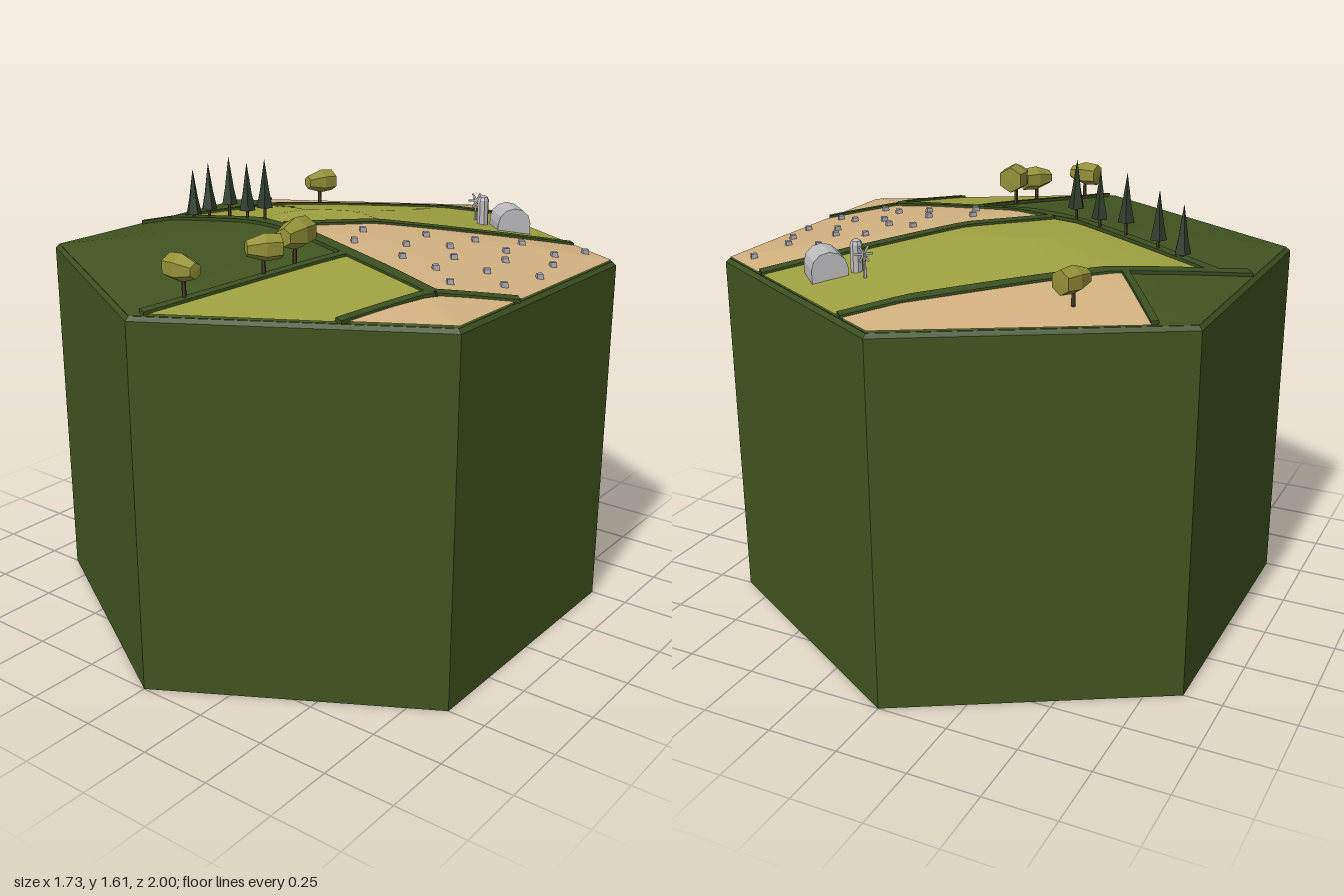
import * as THREE from 'three';
import { mergeVertices } from 'three/addons/utils/BufferGeometryUtils.js';

const paint = (name, color, opts = {}) => Object.assign(new THREE.MeshStandardMaterial({ color, ...opts }), { name });

// Hexagonal distance: 0 at the centre, 1 at the rim
function hexDist(x, z) {
  let d = 0;
  for (let i = 0; i < 3; i++) {
    const a = (i * Math.PI) / 3;
    d = Math.max(d, Math.abs(x * Math.cos(a) + z * Math.sin(a)) / 0.866);
  }
  return Math.min(d, 1);
}

// Height of the gently domed land, flat on top
function land(x, z) {
  const k = hexDist(x, z);
  const r = Math.hypot(x + 0.06 * (1 - k), z);
  const d = k * k + r * (1 - k);
  return 1.277 + 0.106 * THREE.MathUtils.clamp((1 - d) / 0.8, 0, 1);
}

// Convex patch [x, z] draped over the land, as a subdivided fan
function drape(points, lift, n = 22) {
  const cx = points.reduce((s, p) => s + p[0], 0) / points.length;
  const cz = points.reduce((s, p) => s + p[1], 0) / points.length;
  const pos = [];
  const put = (p) => pos.push(p[0], land(p[0], p[1]) + lift, p[1]);
  const tri = (a, b, c) => {
    const up = (b[1] - a[1]) * (c[0] - a[0]) - (b[0] - a[0]) * (c[1] - a[1]);
    (up > 0 ? [a, b, c] : [a, c, b]).forEach(put);
  };
  points.forEach((a, e) => {
    const b = points[(e + 1) % points.length];
    const at = (i, j) => [
      cx + ((a[0] - cx) * i + (b[0] - cx) * j) / n,
      cz + ((a[1] - cz) * i + (b[1] - cz) * j) / n,
    ];
    for (let i = 0; i < n; i++) for (let j = 0; i + j < n; j++) {
      tri(at(i, j), at(i + 1, j), at(i, j + 1));
      if (i + j < n - 1) tri(at(i + 1, j), at(i + 1, j + 1), at(i, j + 1));
    }
  });
  let g = new THREE.BufferGeometry();
  g.setAttribute('position', new THREE.Float32BufferAttribute(pos, 3));
  g = mergeVertices(g, 1e-5);
  g.computeVertexNormals();
  return g;
}

// Hedge from a to b: a long box bent to follow the land
function hedgeGeometry(a, b, width) {
  const dx = b[0] - a[0], dz = b[1] - a[1];
  const g = new THREE.BoxGeometry(Math.hypot(dx, dz), 0.012, width, 24, 1, 1);
  g.rotateY(-Math.atan2(dz, dx));
  g.translate((a[0] + b[0]) / 2, 0.006, (a[1] + b[1]) / 2);
  const p = g.attributes.position;
  for (let i = 0; i < p.count; i++) p.setY(i, p.getY(i) + land(p.getX(i), p.getZ(i)));
  g.computeVertexNormals();
  return g;
}

const lathe = (pts, sides) => new THREE.LatheGeometry(pts.map((p) => new THREE.Vector2(...p)), sides);

export function createModel() {
  const model = new THREE.Group();
  model.name = 'farmlandTile';
  const flat = { flatShading: true };
  const open = { side: THREE.DoubleSide };
  const wall = paint('earth green', 0x41541f, { ...flat, ...open });
  const grass = paint('grass green', 0x415421, open);
  const hedge = paint('hedge green', 0x3b4f20, { ...flat, ...open });
  const soil = paint('tan soil', 0xd2b180, open);
  const crop = paint('crop yellow green', 0x9da03f, open);
  const leaf = paint('olive leaf', 0x949038, flat);
  const pine = paint('pine green', 0x2d3c2b, flat);
  const bark = paint('bark brown', 0x4a3a24, flat);
  const metal = paint('pale metal', 0xbcbcc0, flat);
  const stone = paint('grey stone', 0xa9a8b4, flat);

  const add = (name, geometry, material, x = 0, y = 0, z = 0, parent = model) => {
    const m = new THREE.Mesh(geometry, material);
    m.name = name;
    m.position.set(x, y, z);
    parent.add(m);
    return m;
  };

  // Hexagonal block, open below, with a bevelled rim
  add('blockWalls', new THREE.CylinderGeometry(1, 1, 1.265, 6, 1, true), wall, 0, 0.6325);
  add('blockRim', new THREE.CylinderGeometry(0.985, 1, 0.013, 6, 1, true), hedge, 0, 1.2715);
  const hex = [0, 1, 2, 3, 4, 5].map((i) => [Math.sin(i * Math.PI / 3) * 0.985, Math.cos(i * Math.PI / 3) * 0.985]);
  add('ground', drape(hex, 0), grass);

  // Fields
  const fields = [
    ['backLeftField', soil, [[0, -0.98], [0.135, -0.905], [-0.505, -0.25], [-0.73, -0.565]]],
    ['middleField', crop, [[0.167, -0.885], [0.622, -0.625], [-0.108, 0.111], [-0.71, -0.02]]],
    ['rightField', soil, [[0.654, -0.605], [0.85, -0.492], [0.85, 0.12], [0.655, 0.305], [-0.08, 0.127]]],
    ['frontField', crop, [[0.278, 0.25], [0.632, 0.34], [0.53, 0.675], [0.045, 0.95]]],
    ['frontRightField', soil, [[0.85, 0.155], [0.85, 0.485], [0.555, 0.655], [0.68, 0.33]]],
  ];
  for (const [name, mat, pts] of fields) add(name, drape(pts, 0.004), mat);

  // Hedges between the fields
  const hedges = [
    [[0.15, -0.895], [-0.84, 0.085], 0.04],
    [[0.635, -0.615], [-0.1, 0.125], 0.045],
    [[-0.74, 0], [0.655, 0.33], 0.045],
    [[0.66, 0.32], [0.85, 0.14], 0.035],
    [[0.655, 0.33], [0.545, 0.665], 0.03],
    [[0.26, 0.25], [0.025, 0.955], 0.03],
    [[-0.735, -0.55], [-0.515, -0.24], 0.025],
  ];
  hedges.forEach(([a, b, w]) => add('hedge', hedgeGeometry(a, b, w), hedge));

  // Row of conifers: x, z, tip height
  const pineGeo = lathe([[0, 0], [0.03, 0], [0.017, 0.06], [0.011, 0.1], [0, 0.17]], 5);
  const pineTrunk = new THREE.CylinderGeometry(0.006, 0.006, 0.05, 5);
  [[-0.617, 0.03, 1.51], [-0.525, 0.045, 1.545], [-0.397, 0.075, 1.585], [-0.29, 0.1, 1.58], [-0.195, 0.115, 1.605]]
    .forEach(([x, z, tip], i) => {
      add('conifer', pineGeo, pine, x, tip - 0.17, z).rotation.y = i * 1.1;
      add('coniferTrunk', pineTrunk, bark, x, tip - 0.19, z);
    });

  // Round trees, crowns are lying tapered barrels: x, crown height, z, heading, size
  const crown = lathe([[0, -0.062], [0.043, -0.06], [0.048, -0.005], [0.027, 0.058], [0, 0.06]], 6);
  crown.rotateX(Math.PI / 2);
  [[-0.475, 1.39, -0.56, -0.37, 0.95], [0.185, 1.45, 0.42, 0.1, 1.1], [0.155, 1.425, 0.54, -0.65, 0.95], [0.065, 1.4, 0.81, 1.5, 0.95]]
    .forEach(([x, y, z, turn, s]) => {
      const top = add('treeCrown', crown, leaf, x, y, z);
      top.rotation.y = turn;
      top.scale.setScalar(s);
      const foot = land(x, z) - 0.01, tall = y - foot;
      add('treeTrunk', new THREE.CylinderGeometry(0.006, 0.008, tall, 5), bark, x, foot + tall / 2, z);
    });

  // Stones scattered over the right field
  const stones = [
    0.75, -0.49, 0.57, -0.36, 0.71, -0.34, 0.46, -0.23, 0.59, -0.22, 0.76, -0.24, 0.33, -0.12,
    0.45, -0.085, 0.64, -0.13, 0.79, -0.095, 0.17, 0.03, 0.35, 0.03, 0.52, 0, 0.66, 0.02,
    0.215, 0.14, 0.41, 0.14, 0.54, 0.14, 0.64, 0.21, 0.76, 0.08,
  ];
  const stoneGeo = new THREE.CylinderGeometry(0.014, 0.016, 0.018, 4);
  for (let i = 0; i < stones.length; i += 2) {
    add('stone', stoneGeo, stone, stones[i], land(stones[i], stones[i + 1]) + 0.01, stones[i + 1]);
  }

  // Arched barn
  const arch = new THREE.Shape();
  arch.moveTo(-0.06, -0.02);
  arch.lineTo(0.06, -0.02);
  for (let i = 0; i <= 6; i++) arch.lineTo(0.06 * Math.cos(i * Math.PI / 6), 0.03 + 0.055 * Math.sin(i * Math.PI / 6));
  const barnGeo = new THREE.ExtrudeGeometry(arch, { depth: 0.125, bevelEnabled: false });
  barnGeo.translate(0, 0, -0.0625);
  add('barn', barnGeo, metal, 0.385, 1.311, -0.597).rotation.y = Math.PI / 4;

  // Domed silo
  add('silo', lathe([[0.021, 0], [0.021, 0.11], [0.016, 0.122], [0, 0.13]], 8), metal, 0.29, 1.3, -0.56);

  // Wind pump with a small wheel of blades
  const pump = new THREE.Group();
  pump.name = 'windPump';
  pump.position.set(0.228, land(0.228, -0.61), -0.61);
  pump.rotation.y = Math.PI / 4;
  model.add(pump);
  add('pumpMast', new THREE.CylinderGeometry(0.003, 0.006, 0.09, 5), metal, 0, 0.04, 0, pump);
  add('pumpTail', new THREE.BoxGeometry(0.004, 0.006, 0.04), metal, 0, 0.08, -0.01, pump);
  for (let i = 0; i < 3; i++) {
    add('pumpBlade', new THREE.BoxGeometry(0.06, 0.007, 0.003), metal, 0, 0.08, 0.01, pump).rotation.z = (i * Math.PI) / 3;
  }
  return model;
}
